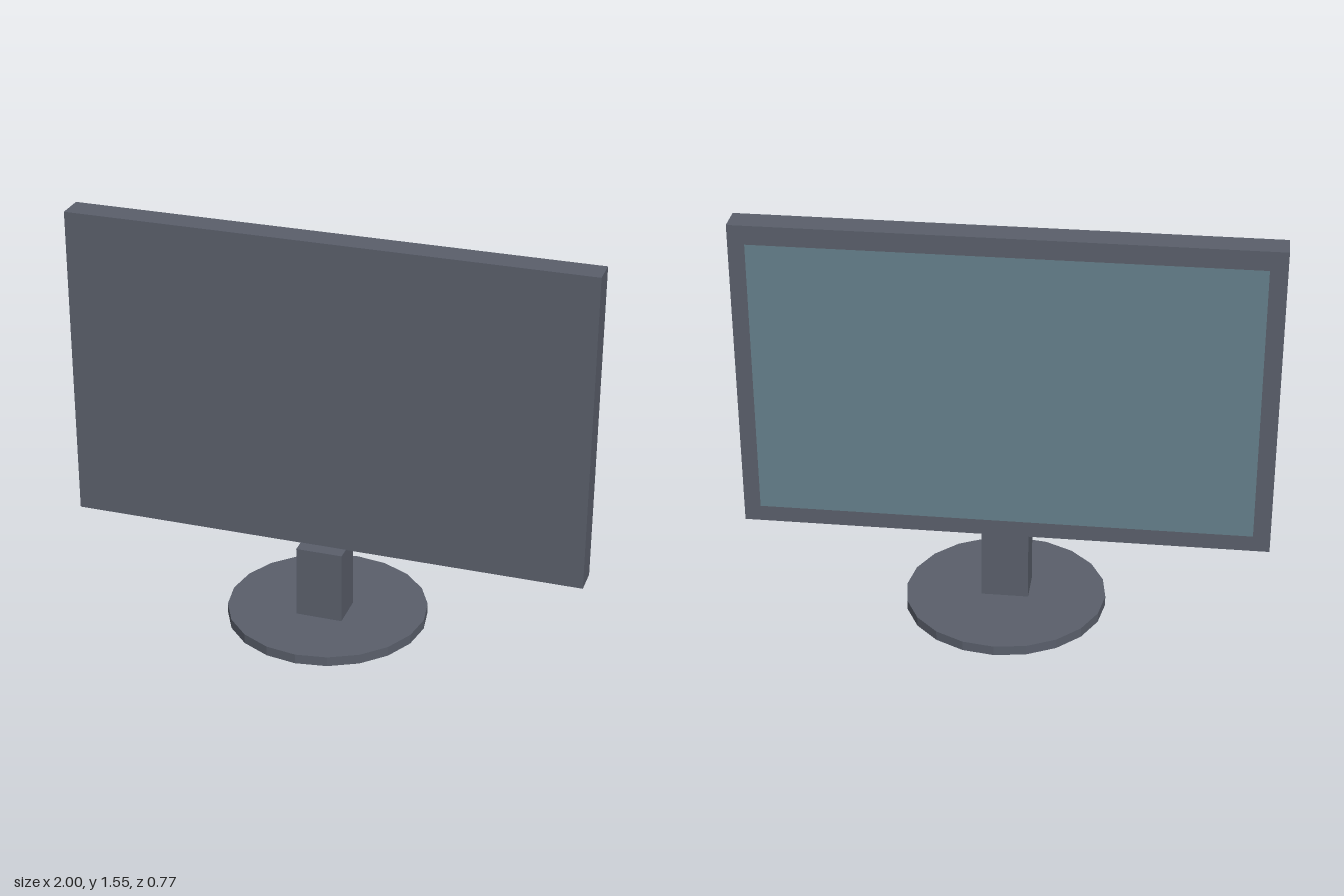
import * as THREE from 'three';

export function createModel() {
  const model = new THREE.Group();
  const casing = new THREE.MeshStandardMaterial({ color: 0x5a5f6b, flatShading: true });
  const glass = new THREE.MeshStandardMaterial({ color: 0x657f8b, side: THREE.DoubleSide });

  function add(name, geometry, material, y, z = 0) {
    const mesh = new THREE.Mesh(geometry, material);
    mesh.name = name;
    mesh.position.set(0, y, z);
    model.add(mesh);
    return mesh;
  }

  // Round foot and upright neck
  add('base', new THREE.CylinderGeometry(0.386, 0.386, 0.038, 20), casing, 0.019);
  add('neck', new THREE.BoxGeometry(0.18, 0.284, 0.143), casing, 0.18, 0.0355);

  // Panel housing
  add('housing', new THREE.BoxGeometry(2, 1.228, 0.108), casing, 0.935);

  // Thin screen sheet just clear of the housing, facing -z
  const screen = add('screen', new THREE.PlaneGeometry(1.87, 1.09), glass, 0.935, -0.064);
  screen.rotation.y = Math.PI;

  return model;
}
